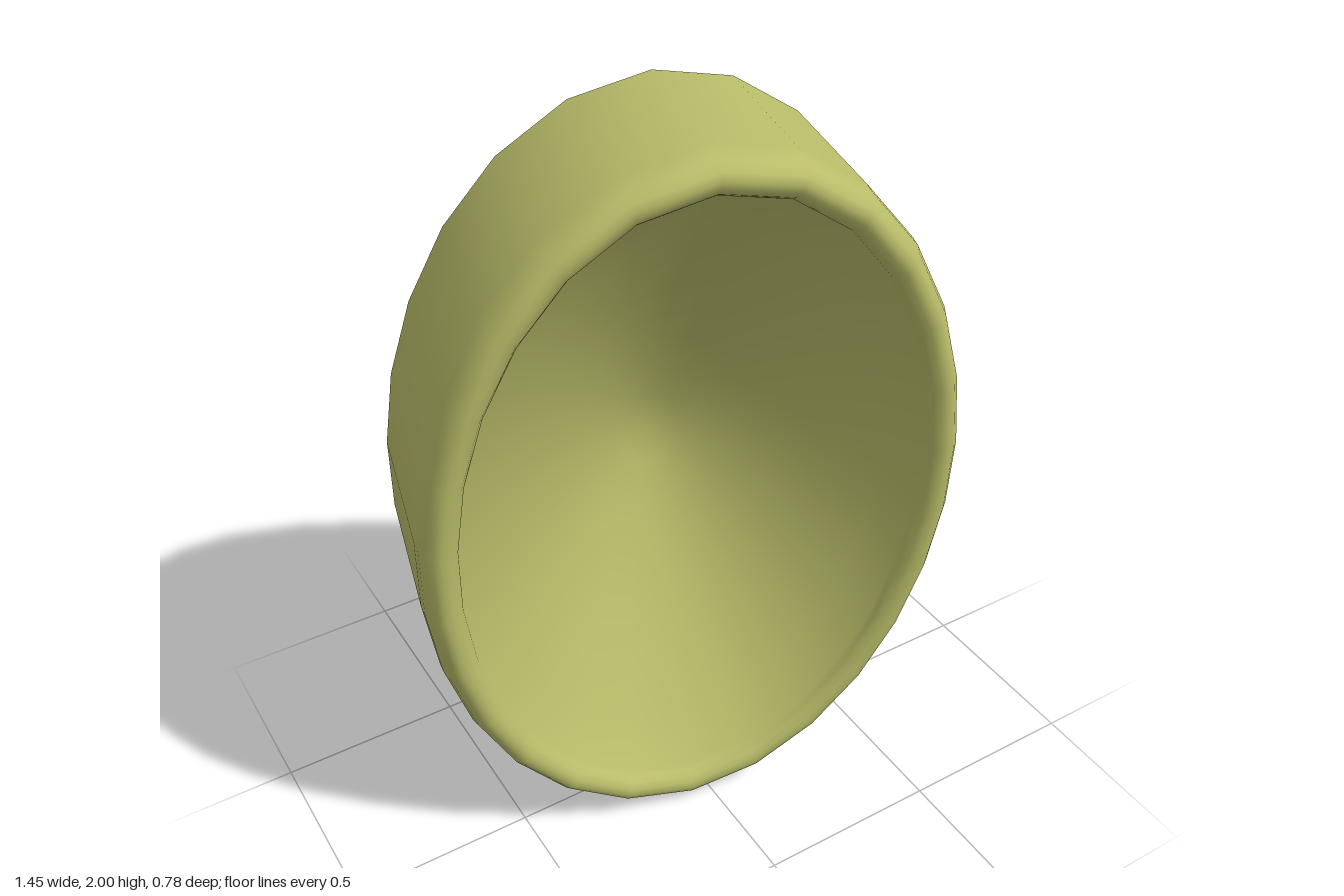
import * as THREE from 'three';

const SIDES = 26;
const A = 0.69, B = 0.995; // half width and half height of the oval

// Leaning frame of the dish: width, height and depth directions, then the back centre
const frame = new THREE.Matrix4().makeBasis(
  new THREE.Vector3(0.67, 0, 0.14).normalize(),
  new THREE.Vector3(0, 0.99, 0.045).normalize(),
  new THREE.Vector3(-0.25, 0.02, 0.97)
).setPosition(0.058, 0.997, -0.255);

// Evenly spaced directions round the oval, starting at the top
const oval = new THREE.EllipseCurve(0, 0, A, B, Math.PI / 2, Math.PI * 2.5)
  .getSpacedPoints(SIDES).slice(0, SIDES)
  .map((p) => [p.x / A, p.y / B]);

// Skins a row of oval rings [half width, half height, depth], ending in a centre point
function skin(rings, centreDepth) {
  const pos = [], index = [];
  for (const [a, b, d] of rings) for (const [c, s] of oval) pos.push(a * c, b * s, d);
  for (let r = 0; r < rings.length - 1; r++) {
    for (let i = 0; i < SIDES; i++) {
      const j = (i + 1) % SIDES, p = r * SIDES, q = p + SIDES;
      index.push(p + i, p + j, q + j, p + i, q + j, q + i);
    }
  }
  const last = (rings.length - 1) * SIDES, centre = rings.length * SIDES;
  pos.push(0, 0, centreDepth);
  for (let i = 0; i < SIDES; i++) index.push(last + i, last + (i + 1) % SIDES, centre);
  const geo = new THREE.BufferGeometry();
  geo.setAttribute('position', new THREE.Float32BufferAttribute(pos, 3));
  geo.setIndex(index);
  geo.applyMatrix4(frame);
  geo.computeVertexNormals();
  return geo;
}

export function createModel() {
  const group = new THREE.Group();
  group.name = 'ovalDish';
  const material = new THREE.MeshStandardMaterial({ color: 0xb9bc69, side: THREE.DoubleSide });
  const add = (name, geo) => {
    const mesh = new THREE.Mesh(geo, material);
    mesh.name = name;
    group.add(mesh);
  };

  // Straight outer wall
  const wall = 0.42, crest = 0.51, lip = 0.46, floor = 0.01;
  const rings = [[A, B, 0], [A, B, wall / 2], [A, B, wall]];

  // Rounded rim: up to the crest, then down to the lip of the bowl
  const rim = 0.048;
  for (let k = 1; k <= 8; k++) {
    const t = (k / 8) * Math.PI;
    const inset = rim * (1 - Math.cos(t));
    const base = k <= 4 ? wall : lip;
    rings.push([A - inset, B - inset, base + (crest - base) * Math.sin(t)]);
  }

  // Hollow bowl, nearly conical, reaching almost to the back
  const a = A - 2 * rim, b = B - 2 * rim;
  for (let k = 1; k < 8; k++) {
    const r = 1 - k / 8;
    rings.push([a * r, b * r, floor + (lip - floor) * Math.pow(r, 1.5)]);
  }
  add('wallAndBowl', skin(rings, floor));

  // Flat back
  const back = skin([[A, B, 0]], 0);
  back.setIndex(Array.from(back.index.array).reverse());
  back.computeVertexNormals();
  add('backPlate', back);

  return group;
}
